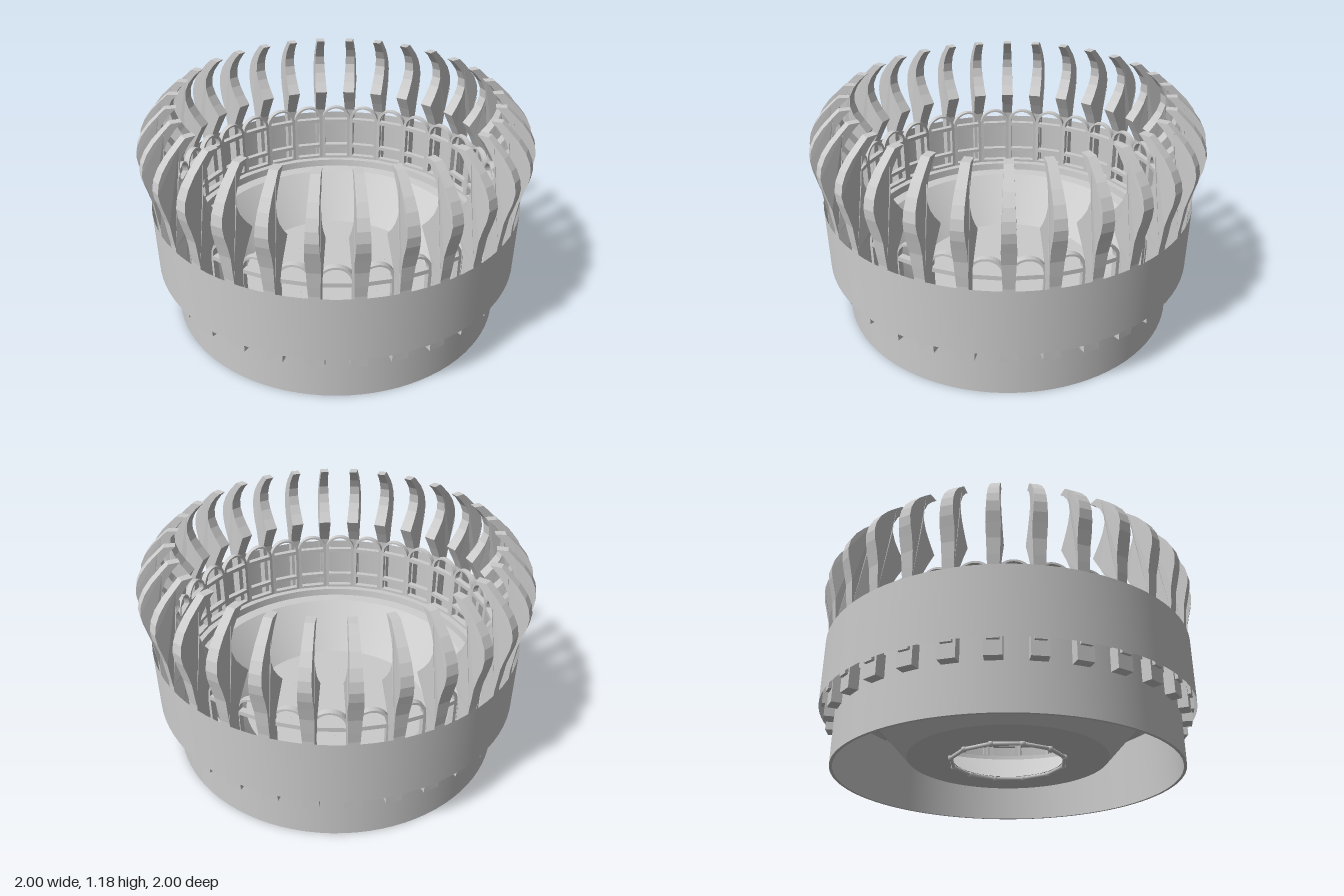
import * as THREE from 'three';

const COUNT = 30;
const STEP = (Math.PI * 2) / COUNT;
const SEGMENTS = 90;
const solid = new THREE.MeshStandardMaterial({ color: 0xcccccc });
const thin = new THREE.MeshStandardMaterial({ color: 0xcccccc, side: THREE.DoubleSide });

const points = list => list.map(([x, y]) => new THREE.Vector2(x, y));

function add(parent, name, geometry, material = solid) {
  const mesh = new THREE.Mesh(geometry, material);
  mesh.name = name;
  parent.add(mesh);
  return mesh;
}

// Lathe with a crisp edge between neighbouring profile points
function lathe(parent, name, profile) {
  const group = new THREE.Group();
  group.name = name;
  for (let i = 0; i < profile.length - 1; i++) {
    const strip = points([profile[i], profile[i + 1]]);
    add(group, name + 'Surface', new THREE.LatheGeometry(strip, SEGMENTS), thin);
  }
  parent.add(group);
}

// Curved rib: radial outline extruded sideways, narrowing to its tip
function ribGeometry() {
  const outer = [[0.95, 0.3], [0.95, 0.645], [0.957, 0.7], [0.965, 0.78], [0.982, 0.85], [0.995, 0.9], [1, 0.95],
    [0.99, 1], [0.965, 1.05], [0.925, 1.1], [0.872, 1.15], [0.838, 1.18]];
  const inner = [[0.785, 1.18], [0.82, 1.15], [0.862, 1.1], [0.887, 1.05], [0.892, 1], [0.875, 0.95], [0.842, 0.9],
    [0.8, 0.85], [0.845, 0.77], [0.88, 0.7], [0.885, 0.645], [0.885, 0.3]];
  const geometry = new THREE.ExtrudeGeometry(new THREE.Shape(points([...outer, ...inner])),
    { depth: 1, bevelEnabled: false });
  geometry.translate(0, 0, -0.5);
  const p = geometry.attributes.position;
  for (let i = 0; i < p.count; i++) {
    const y = p.getY(i);
    const width = y < 0.85
      ? THREE.MathUtils.mapLinear(Math.max(y, 0.645), 0.645, 0.85, 0.054, 0.068)
      : THREE.MathUtils.mapLinear(y, 0.85, 1.18, 0.068, 0.042);
    p.setZ(i, p.getZ(i) * width);
  }
  geometry.computeVertexNormals();
  return geometry;
}

// Arched lattice panel with three openings
function archOutline(path, half, bottom, spring) {
  path.moveTo(-half, bottom);
  path.lineTo(half, bottom);
  path.lineTo(half, spring);
  path.absarc(0, spring, half, 0, Math.PI, false);
  path.closePath();
  return path;
}

function panelGeometry() {
  const shape = archOutline(new THREE.Shape(), 0.088, 0.37, 0.648);
  shape.holes.push(archOutline(new THREE.Path(), 0.07, 0.652, 0.656));
  for (const [low, high] of [[0.395, 0.455], [0.475, 0.63]]) {
    shape.holes.push(new THREE.Path(points([[-0.07, low], [-0.07, high], [0.07, high], [0.07, low]])));
  }
  return new THREE.ExtrudeGeometry(shape, { depth: 0.03, bevelEnabled: false, curveSegments: 10 });
}

export function createModel() {
  const model = new THREE.Group();

  // Base wall, outer band and bowl
  lathe(model, 'baseWall', [[0.87, 0], [0.885, 0], [0.885, 0.38], [0.87, 0.38], [0.87, 0]]);
  lathe(model, 'outerBand', [[0.965, 0.3], [0.965, 0.645]]);
  lathe(model, 'bowl', [[0.872, 0.38], [0.8, 0.38], [0.795, 0.34], [0.735, 0.335], [0.515, 0.09], [0.28, 0.09]]);

  // Floor plate closing the bowl from above
  const floor = add(model, 'floorPlate', new THREE.CircleGeometry(0.32, 48));
  floor.rotation.x = -Math.PI / 2;
  floor.position.y = 0.094;

  // Slim ring with knobs under the floor opening
  const ring = add(model, 'lowerRing', new THREE.TorusGeometry(0.295, 0.01, 6, 12));
  ring.rotation.x = Math.PI / 2;
  ring.position.y = 0.08;
  const knob = new THREE.SphereGeometry(0.016, 8, 6);
  for (let i = 0; i < 12; i++) {
    const a = (i * Math.PI) / 6;
    add(model, 'ringKnob', knob).position.set(0.295 * Math.cos(a), 0.08, 0.295 * Math.sin(a));
  }

  // Ribs with their foot blocks, and the arched panels between them
  const rib = ribGeometry();
  const foot = new THREE.BoxGeometry(0.055, 0.11, 0.08).translate(0.907, 0.285, 0);
  const panel = panelGeometry().translate(0, 0, 0.832);
  for (let i = 0; i < COUNT; i++) {
    const spoke = new THREE.Group();
    spoke.name = 'ribUnit';
    spoke.rotation.y = i * STEP + 0.008;
    add(spoke, 'rib', rib);
    add(spoke, 'ribFoot', foot);
    model.add(spoke);
    add(model, 'archPanel', panel).rotation.y = i * STEP;
  }
  return model;
}
